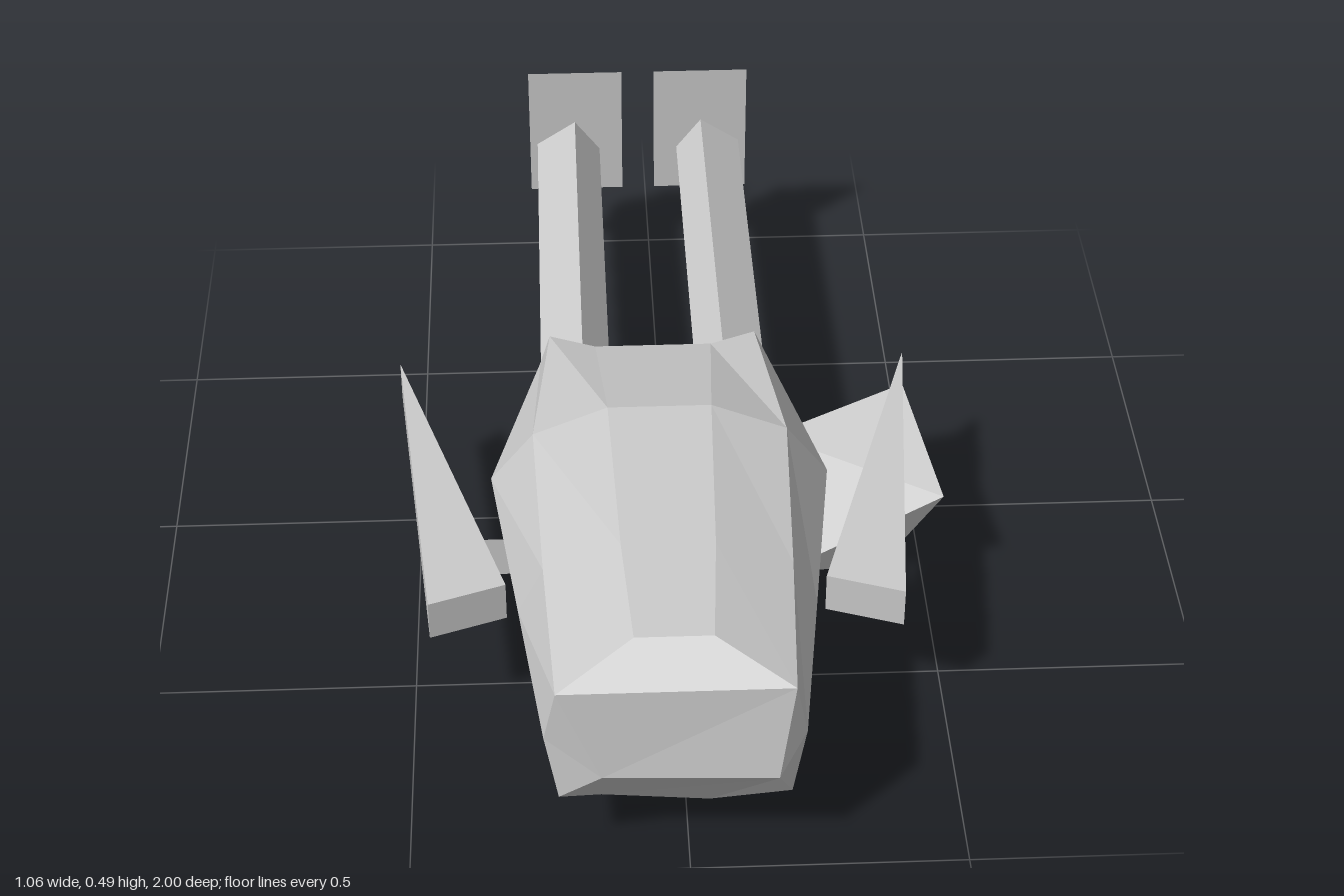
import * as THREE from 'three';
import { ConvexGeometry } from 'three/addons/geometries/ConvexGeometry.js';

const MID = -0.025; // symmetry plane of the hull
const mat = new THREE.MeshStandardMaterial({ color: 0xcccccc, flatShading: true, side: THREE.DoubleSide });

function mesh(name, geometry) {
  const m = new THREE.Mesh(geometry, mat);
  m.name = name;
  return m;
}

// Build flat faces from polygons, each given as a list of [x, y, z] corners
function fromPolygons(polygons) {
  const pos = [];
  for (const p of polygons)
    for (let i = 1; i < p.length - 1; i++) pos.push(...p[0], ...p[i], ...p[i + 1]);
  const g = new THREE.BufferGeometry();
  g.setAttribute('position', new THREE.Float32BufferAttribute(pos, 3));
  g.computeVertexNormals();
  return g;
}

// Side walls between rings ordered from front to back, counter-clockwise seen from the front
function walls(rings) {
  const faces = [];
  for (let k = 0; k < rings.length - 1; k++) {
    const a = rings[k], b = rings[k + 1], n = a.length;
    for (let i = 0; i < n; i++) {
      const j = (i + 1) % n;
      faces.push([a[i], b[i], b[j]], [a[i], b[j], a[j]]);
    }
  }
  return faces;
}

// Full ten-sided ring from a half profile (top, shoulder, side, lower, bottom)
function ring(half) {
  const left = half.map(([d, y, z]) => [MID - d, y, z]);
  const right = half.map(([d, y, z]) => [MID + d, y, z]).reverse();
  return [right[4], ...left, ...right.slice(0, 4)];
}

function createHull() {
  const rings = [
    [[0.07, 0.455, 0.89], [0.208, 0.4, 0.97], [0.23, 0.285, 0.955], [0.206, 0.153, 0.965], [0.098, 0.072, 0.89]],
    [[0.085, 0.463, 0.65], [0.225, 0.41, 0.65], [0.273, 0.295, 0.63], [0.23, 0.152, 0.62], [0.12, 0.135, 0.65]],
    [[0.098, 0.474, 0.26], [0.24, 0.43, 0.28], [0.323, 0.302, 0.25], [0.258, 0.15, 0.26], [0.11, 0.077, 0.29]],
    [[0.115, 0.38, -0.065], [0.205, 0.375, -0.11], [0.225, 0.31, -0.11], [0.2, 0.237, -0.11], [0.115, 0.22, -0.065]],
  ].map(ring);

  // Slightly skewed chin
  const f = rings[0];
  f[5] = [-0.155, 0.082, 0.89];
  f[6] = [0.04, 0.063, 0.89];

  // Blunt nose with a lip above the slanted chin
  const lipL = [MID - 0.13, 0.215, 0.985], lipR = [MID + 0.18, 0.215, 0.998];
  const nose = [
    [f[0], f[1], f[2], f[9]], [f[9], f[2], lipL, lipR],
    [f[2], f[3], lipL], [f[3], f[4], lipL], [f[4], f[5], lipL],
    [f[5], f[6], lipR, lipL],
    [f[6], f[7], lipR], [f[7], f[8], lipR], [f[8], f[9], lipR],
  ];

  // Rear wall, set in between the boom roots
  const b = rings[3];
  const back = [[b[1], b[0], b[6], b[5]], [b[5], b[4], b[3], b[2], b[1]], [b[0], b[9], b[8], b[7], b[6]]];
  return mesh('hull', fromPolygons([...nose, ...walls(rings), ...back]));
}

// Five-sided boom running to the rear
function createBoom(side) {
  const section = (z, lift) => [[0.14, 0.36], [0.224, 0.305], [0.213, 0.237], [0.125, 0.216], [0.086, 0.29]]
    .map(([d, y]) => new THREE.Vector3(MID + side * d, y + lift, z));
  return mesh(side > 0 ? 'leftBoom' : 'rightBoom',
    new ConvexGeometry([...section(-0.065, 0.014), ...section(-1, 0)]));
}

// Thin upright plate around the end of a boom
function createTailPlate(side) {
  const m = mesh(side > 0 ? 'leftTailPlate' : 'rightTailPlate', new THREE.PlaneGeometry(0.205, 0.3));
  m.position.set(MID + side * 0.138, 0.337, -0.94);
  return m;
}

// Swept three-cornered side wing of even height
function createWing(side) {
  const corners = [[0.507, -0.12], [0.436, 0.62], [0.295, 0.57]];
  const pts = corners.flatMap(([d, z]) =>
    [0.228, 0.308].map((y) => new THREE.Vector3(MID + side * d, y, z)));
  return mesh(side > 0 ? 'leftWing' : 'rightWing', new ConvexGeometry(pts));
}

export function createModel() {
  const model = new THREE.Group();
  model.name = 'model';
  model.add(createHull());
  for (const side of [-1, 1]) model.add(createBoom(side), createTailPlate(side), createWing(side));

  // Faceted pod under the left wing only
  const pod = [
    [0.205, 0.05, 0.26], [0.42, 0.02, 0.2], [0.527, 0.052, -0.13], [0.527, 0.232, 0.255],
    [0.205, 0.05, -0.135], [0.485, 0.23, -0.115], [0.215, 0.15, -0.06],
  ].map((p) => new THREE.Vector3(...p));
  model.add(mesh('underwingPod', new ConvexGeometry(pod)));

  // Flat strip crossing beneath the hull
  model.add(mesh('crossStrip', fromPolygons([
    [[-0.42, 0, 0.18], [0.42, 0.02, 0.18], [0.4, 0.09, 0.18], [-0.42, 0.092, 0.18]],
  ])));
  return model;
}
